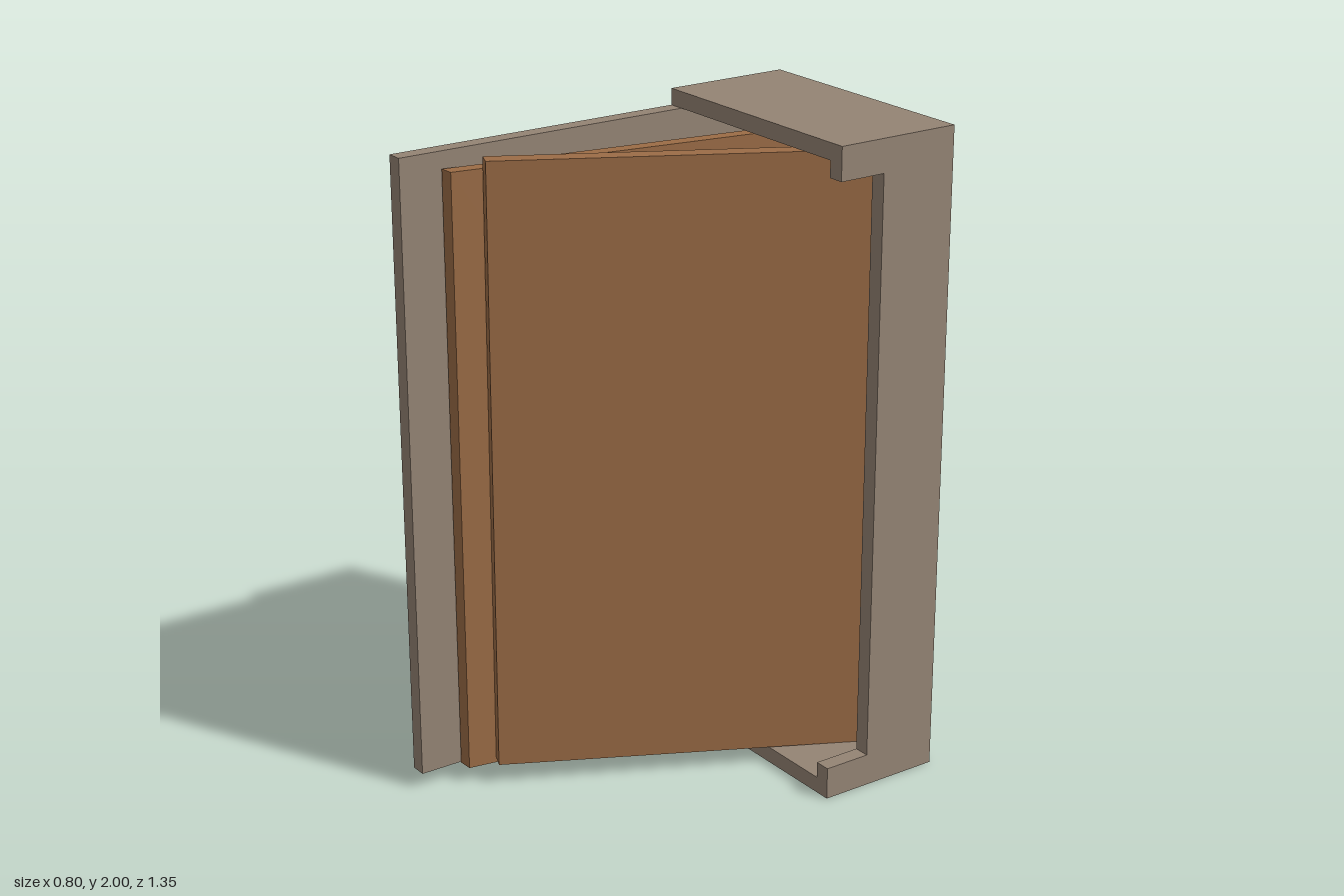
import * as THREE from 'three';

const stone = new THREE.MeshStandardMaterial({ color: 0x948474 });
stone.name = 'greyBrownCase';
const wood = new THREE.MeshStandardMaterial({ color: 0x9b6c46 });
wood.name = 'warmWood';

// Box given by its lower and upper limits on each axis
function slab(name, [x0, x1], [y0, y1], [z0, z1]) {
  const geo = new THREE.BoxGeometry(x1 - x0, y1 - y0, z1 - z0);
  geo.translate((x0 + x1) / 2, (y0 + y1) / 2, (z0 + z1) / 2);
  const mesh = new THREE.Mesh(geo, stone);
  mesh.name = name;
  return mesh;
}

// Upright board: plan outline from its front corners and the run to the back
function board(name, left, right, run, y0, y1) {
  const plan = [left, right, [right[0] + run[0], right[1] + run[1]], [left[0] + run[0], left[1] + run[1]]];
  const shape = new THREE.Shape(plan.map(([x, z]) => new THREE.Vector2(x, -z)));
  const geo = new THREE.ExtrudeGeometry(shape, { depth: y1 - y0, bevelEnabled: false });
  geo.rotateX(-Math.PI / 2).translate(0, y0, 0);
  const mesh = new THREE.Mesh(geo, wood);
  mesh.name = name;
  return mesh;
}

export function createModel() {
  const model = new THREE.Group();
  model.name = 'cabinet';

  // Shallow case with one long side wall
  model.add(
    slab('topPanel', [-0.4, 0.4], [1.95, 2], [-0.675, -0.275]),
    slab('bottomPanel', [-0.4, 0.4], [0, 0.05], [-0.675, -0.275]),
    slab('backPanel', [-0.35, 0.35], [0.05, 1.95], [-0.675, -0.625]),
    slab('longSideWall', [-0.4, -0.35], [0.05, 1.95], [-0.675, 0.675])
  );

  // Short side wall with a recessed front edge
  const profile = [
    [-0.675, 0.05], [-0.275, 0.05], [-0.275, 0.1], [-0.425, 0.1],
    [-0.425, 1.9], [-0.275, 1.9], [-0.275, 1.95], [-0.675, 1.95],
  ];
  const wallGeo = new THREE.ExtrudeGeometry(
    new THREE.Shape(profile.map(([z, y]) => new THREE.Vector2(z, y))),
    { depth: 0.05, bevelEnabled: false }
  );
  wallGeo.rotateY(-Math.PI / 2).translate(0.4, 0, 0);
  const wall = new THREE.Mesh(wallGeo, stone);
  wall.name = 'notchedSideWall';
  model.add(wall);

  // Loose boards leaning inside
  model.add(board('innerBoard', [-0.345, 0.543], [-0.3, 0.541], [0.19, -1.16], 0.05, 1.9));

  const outer = board('outerBoard', [-0.282, 0.453], [-0.237, 0.471], [0.53, -1.084], 0.065, 1.935);
  // Slight lean: sags towards the back and tips sideways
  const pos = outer.geometry.attributes.position;
  for (let i = 0; i < pos.count; i++) {
    const x = pos.getX(i), y = pos.getY(i), z = pos.getZ(i);
    pos.setXYZ(i, x + 0.0045 * (y - 1), y - 0.0285 * (x + 0.237), z - 0.002 * (y - 1));
  }
  outer.geometry.computeVertexNormals();
  model.add(outer);

  return model;
}
